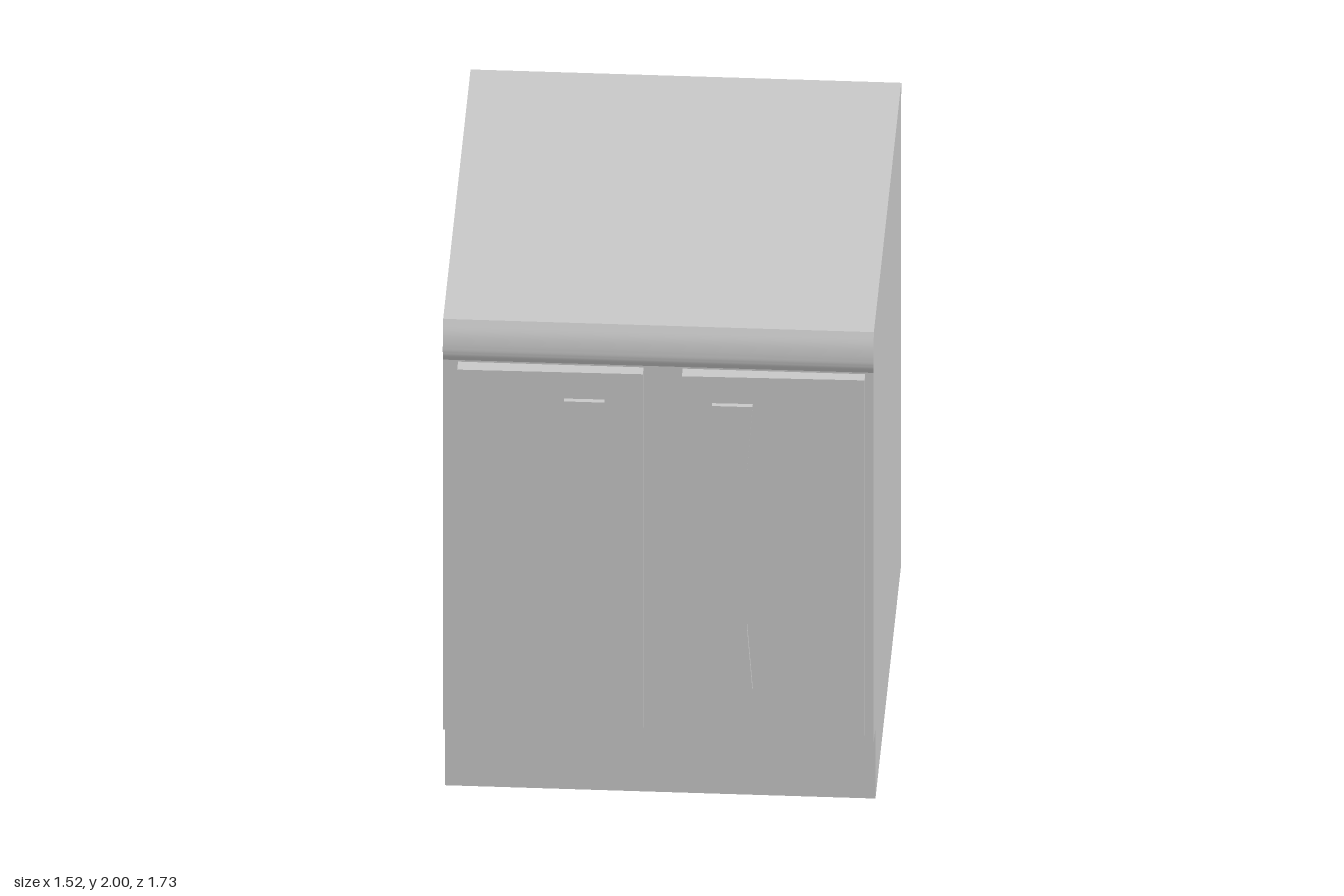
import * as THREE from 'three';
import { toCreasedNormals } from 'three/addons/utils/BufferGeometryUtils.js';

const material = new THREE.MeshStandardMaterial({ color: 0xcccccc });

function addMesh(parent, name, geometry) {
  const mesh = new THREE.Mesh(geometry, material);
  mesh.name = name;
  parent.add(mesh);
  return mesh;
}

// Outline of [u, v] points extruded by depth
function extrude(points, depth) {
  const shape = new THREE.Shape(points.map(([u, v]) => new THREE.Vector2(u, v)));
  return new THREE.ExtrudeGeometry(shape, { depth, bevelEnabled: false });
}

export function createModel() {
  const model = new THREE.Group();
  model.name = 'cabinet';

  // Cabinet body: side profile (z, y) with toe kick and rounded counter edge
  const left = 0.757, right = -0.763;
  const counterEdge = new THREE.CatmullRomCurve3([
    [0.805, 1.84], [0.814, 1.87], [0.815, 1.9], [0.808, 1.95], [0.79, 2],
  ].map(([z, y]) => new THREE.Vector3(z, y, 0)));
  const profile = [
    [-0.85, 0], [0.693, 0], [0.693, 0.29], [0.81, 0.305], [0.798, 1.84],
    ...counterEdge.getPoints(16).map((p) => [p.x, p.y]),
    [-0.867, 2],
  ];
  const body = extrude(profile, left - right);
  body.rotateY(-Math.PI / 2).translate(left, 0, 0);
  addMesh(model, 'body', toCreasedNormals(body, 0.5));

  // Doors: slabs seen from above as (x, z), slightly tapered towards +x
  const doors = [
    { name: 'rightDoor', x0: -0.71, x1: -0.055, z0: 0.851, z1: 0.844 },
    { name: 'leftDoor', x0: 0.083, x1: 0.727, z0: 0.849, z1: 0.839 },
  ];
  for (const { name, x0, x1, z0, z1 } of doors) {
    const door = extrude([[x0, -z0], [x0, -0.795], [x1, -0.795], [x1, -z1]].reverse(), 1.483);
    door.rotateX(-Math.PI / 2).translate(0, 0.346, 0);
    addMesh(model, name, door);
  }

  // Handles: straight inner edge, waisted outer edge, mirrored about the centre
  const outline = [
    [0.19, 0.54], [0.333, 0.54], [0.313, 0.81], [0.313, 1.44], [0.333, 1.72], [0.19, 1.72],
  ];
  for (const side of [-1, 1]) {
    const handle = extrude(outline.map(([x, y]) => [side * x, y]), 0.03);
    handle.translate(0, 0, 0.836);
    addMesh(model, side < 0 ? 'rightHandle' : 'leftHandle', handle);
  }
  return model;
}
